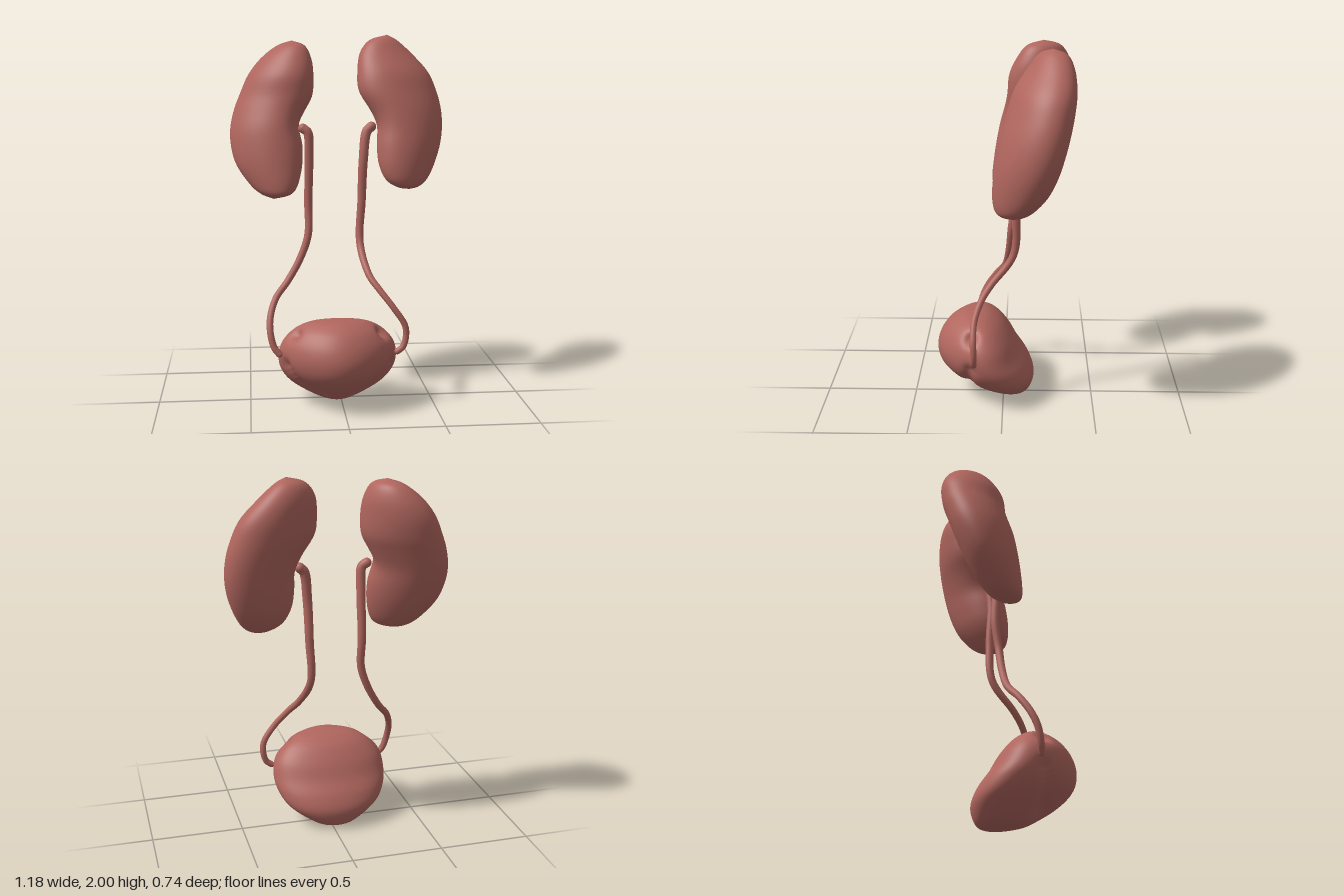
import * as THREE from 'three';
import { mergeVertices } from 'three/addons/utils/BufferGeometryUtils.js';

const material = new THREE.MeshStandardMaterial({ color: 0xb0665e });

// Smooth closed body from rows [y, xMin, xMax, zMin, zMax], bottom to top.
// skew leans each oval toward a diagonal; taper narrows its +z side and widens its back.
// dents are [x, y, z, radius, depth], pushed toward the middle of the body.
function loft(rows, { skew = 0, taper = 0, dents = [], around = 56, along = 64 }) {
  const spline = (f) => new THREE.CatmullRomCurve3(rows.map(f), false, 'catmullrom', 0.5);
  const centres = spline(([y, a, b, c, d]) => new THREE.Vector3((a + b) / 2, y, (c + d) / 2));
  const sizes = spline(([y, a, b, c, d]) => new THREE.Vector3((b - a) / 2, 0, (d - c) / 2));
  const middle = centres.getPoint(0.5);
  const positions = [], index = [];
  for (let i = 0; i <= along; i++) {
    const u = (1 - Math.cos((i / along) * Math.PI)) / 2;
    const c = centres.getPoint(u), s = sizes.getPoint(u);
    for (let j = 0; j < around; j++) {
      const t = (j / around) * Math.PI * 2;
      const p = new THREE.Vector3(
        c.x + s.x * Math.cos(t) * (1 - taper * Math.sin(t)),
        c.y,
        c.z + s.z * Math.sin(t + skew));
      const inward = middle.clone().sub(p).normalize();
      let push = 0;
      for (const [x, y, z, r, depth] of dents) {
        const d2 = (p.x - x) ** 2 + (p.y - y) ** 2 + (p.z - z) ** 2;
        push = Math.max(push, depth * Math.exp(-d2 / (r * r)));
      }
      p.addScaledVector(inward, push);
      positions.push(p.x, p.y, p.z);
      if (i < along) {
        const a = i * around + j, b = i * around + (j + 1) % around;
        index.push(a, a + around, b, b, a + around, b + around);
      }
    }
  }
  let g = new THREE.BufferGeometry();
  g.setAttribute('position', new THREE.Float32BufferAttribute(positions, 3));
  g.setIndex(index);
  g = mergeVertices(g, 1e-5);
  g.computeVertexNormals();
  return g;
}

// Tube that thins along its path, with rounded ends
function duct(points, r0, r1) {
  const curve = new THREE.CatmullRomCurve3(points.map((p) => new THREE.Vector3(...p)));
  const steps = 90, sides = 14;
  const g = new THREE.TubeGeometry(curve, steps, 1, sides);
  const pos = g.attributes.position, v = new THREE.Vector3();
  for (let i = 0; i <= steps; i++) {
    const c = curve.getPointAt(i / steps);
    const r = THREE.MathUtils.lerp(r0, r1, Math.min(1, (i / steps) * 1.3));
    for (let j = 0; j <= sides; j++) {
      const k = i * (sides + 1) + j;
      v.fromBufferAttribute(pos, k).sub(c).multiplyScalar(r).add(c);
      pos.setXYZ(k, v.x, v.y, v.z);
    }
  }
  const group = new THREE.Group();
  group.add(new THREE.Mesh(g, material));
  [[0, r0], [1, r1]].forEach(([u, r]) => {
    const cap = new THREE.Mesh(new THREE.SphereGeometry(r, 14, 10), material);
    cap.position.copy(curve.getPointAt(u));
    group.add(cap);
  });
  group.children.forEach((m) => { m.name = 'ureterPart'; });
  return group;
}

export function createModel() {
  const model = new THREE.Group();
  const add = (name, object) => { object.name = name; model.add(object); };

  // Kidneys
  const leftKidney = loft([
    [1.165, 0.38, 0.38, -0.04, -0.04], [1.18, 0.31, 0.44, -0.11, 0.02],
    [1.22, 0.25, 0.49, -0.17, 0.045], [1.3, 0.215, 0.535, -0.235, 0.05],
    [1.4, 0.205, 0.57, -0.28, 0.04], [1.5, 0.2, 0.585, -0.31, 0.02],
    [1.6, 0.165, 0.58, -0.335, 0], [1.7, 0.112, 0.555, -0.355, -0.025],
    [1.8, 0.108, 0.51, -0.365, -0.06], [1.9, 0.125, 0.42, -0.355, -0.125],
    [1.97, 0.18, 0.34, -0.32, -0.18], [2.0, 0.28, 0.28, -0.25, -0.25],
  ], { skew: -0.3, dents: [[0.19, 1.53, -0.08, 0.09, 0.015]] });
  add('leftKidney', new THREE.Mesh(leftKidney, material));

  const rightKidney = loft([
    [1.125, -0.36, -0.36, 0, 0], [1.15, -0.43, -0.27, -0.09, 0.06],
    [1.2, -0.49, -0.23, -0.15, 0.07], [1.3, -0.56, -0.205, -0.22, 0.06],
    [1.4, -0.588, -0.2, -0.27, 0.045], [1.5, -0.59, -0.205, -0.31, 0.025],
    [1.6, -0.567, -0.17, -0.34, 0], [1.68, -0.535, -0.14, -0.36, -0.015],
    [1.78, -0.49, -0.135, -0.37, -0.025], [1.87, -0.42, -0.145, -0.35, -0.065],
    [1.94, -0.33, -0.18, -0.3, -0.12], [1.968, -0.25, -0.25, -0.21, -0.21],
  ], { skew: 0.3, dents: [[-0.19, 1.55, -0.06, 0.09, 0.025]] });
  add('rightKidney', new THREE.Mesh(rightKidney, material));

  // Bladder: two pits on top and a groove along each lower front side
  const cx = -0.025, dents = [];
  for (const s of [-1, 1]) {
    dents.push([cx + s * 0.23, 0.415, 0.17, 0.035, 0.035]);
    for (let i = 0; i <= 8; i++) {
      const u = i / 8;
      dents.push([cx + s * (0.28 - 0.19 * u), 0.25 - 0.18 * u, 0.175, 0.038, 0.026]);
    }
  }
  const bladder = loft([
    [0.003, 0, -0.03, -0.03], [0.012, 0.07, -0.11, 0.05], [0.04, 0.14, -0.15, 0.14],
    [0.12, 0.25, -0.172, 0.265], [0.2, 0.3, -0.145, 0.345], [0.28, 0.311, -0.09, 0.37],
    [0.36, 0.292, -0.045, 0.355], [0.43, 0.235, 0.01, 0.31], [0.47, 0.165, 0.065, 0.255],
    [0.486, 0.09, 0.11, 0.215], [0.492, 0, 0.165, 0.165],
  ].map(([y, h, back, front]) => [y, cx - h, cx + h, back, front]),
  { taper: 0.26, dents, around: 128, along: 100 });
  add('bladder', new THREE.Mesh(bladder, material));

  // Ureters
  add('leftUreter', duct([
    [0.175, 1.505, -0.08], [0.15, 1.48, -0.075], [0.13, 1.33, -0.06], [0.122, 1.1, -0.07],
    [0.112, 0.87, -0.055], [0.15, 0.71, 0.065], [0.2, 0.64, 0.115], [0.27, 0.55, 0.15],
    [0.335, 0.45, 0.155], [0.342, 0.39, 0.152], [0.325, 0.33, 0.155], [0.295, 0.305, 0.155],
  ], 0.027, 0.017));
  add('rightUreter', duct([
    [-0.2, 1.5, -0.04], [-0.175, 1.48, -0.035], [-0.168, 1.35, -0.045], [-0.172, 1.1, -0.06],
    [-0.175, 0.92, -0.04], [-0.22, 0.79, -0.028], [-0.29, 0.67, -0.005], [-0.355, 0.59, 0.045],
    [-0.388, 0.5, 0.1], [-0.39, 0.42, 0.135], [-0.37, 0.34, 0.15], [-0.343, 0.305, 0.155],
  ], 0.026, 0.018));

  return model;
}
